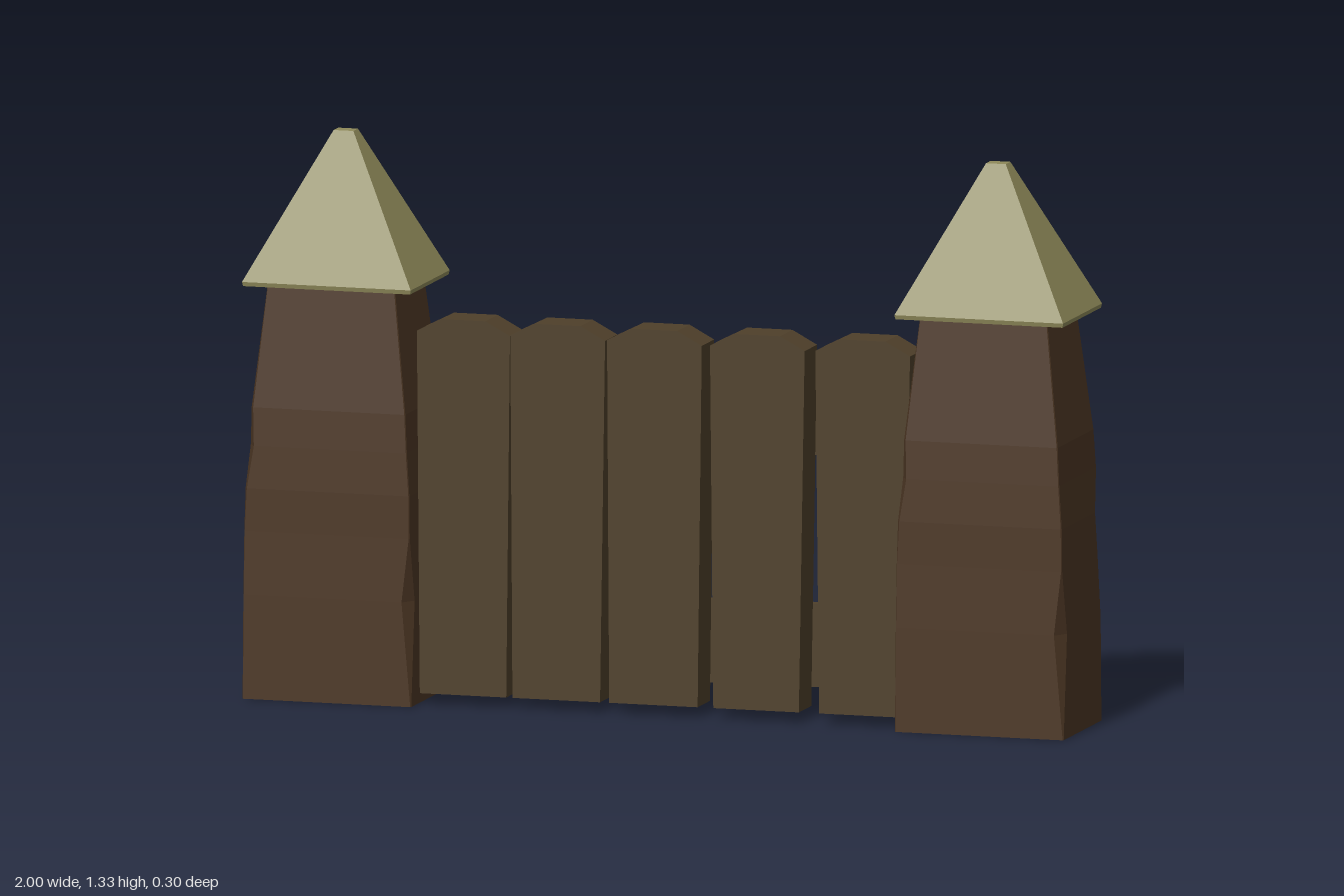
import * as THREE from 'three';

const material = (color) => new THREE.MeshStandardMaterial({ color, flatShading: true });

// Skin closed rings of [x, y, z] points (counterclockwise from above, bottom ring first).
function loft(rings) {
  const pos = [];
  const tri = (a, b, c) => pos.push(...a, ...b, ...c);
  const n = rings[0].length;
  for (let r = 0; r < rings.length - 1; r++) {
    const lo = rings[r], hi = rings[r + 1];
    for (let i = 0; i < n; i++) {
      const j = (i + 1) % n;
      tri(lo[i], lo[j], hi[j]);
      tri(lo[i], hi[j], hi[i]);
    }
  }
  const bottom = rings[0], top = rings[rings.length - 1];
  for (let i = 1; i < n - 1; i++) {
    tri(bottom[0], bottom[i + 1], bottom[i]);
    tri(top[0], top[i], top[i + 1]);
  }
  const geo = new THREE.BufferGeometry();
  geo.setAttribute('position', new THREE.Float32BufferAttribute(pos, 3));
  geo.computeVertexNormals();
  return geo;
}

// Rectangle ring whose corners are cut by chips: front right, back right, back left, front left.
function chippedRing([y, hx, hz, fr, br, bl, fl]) {
  const k = 0.6; // chips cut less deep across x than across z
  return [
    [hx - fr * k, y, hz], [hx, y, hz - fr],
    [hx, y, -hz + br], [hx - br * k, y, -hz],
    [-hx + bl * k, y, -hz], [-hx, y, -hz + bl],
    [-hx, y, hz - fl], [-hx + fl * k, y, hz],
  ];
}

const rectRing = (y, hx, hz) => [[hx, y, hz], [hx, y, -hz], [-hx, y, -hz], [-hx, y, hz]];

export function createModel() {
  const model = new THREE.Group();
  const postWood = material(0x4d3724);
  const plankWood = material(0x4f402a);
  const roofPaint = material(0x8f8a5a);
  const iron = material(0x3a4448);

  const add = (name, geo, mat, parent = model) => {
    const mesh = new THREE.Mesh(geo, mat);
    mesh.name = name;
    parent.add(mesh);
    return mesh;
  };

  // Tapered gate posts with chipped edges and pointed roofs
  const e = 0.003;
  const postGeo = loft([
    [0.005, 0.205, 0.15, e, e, e, e],
    [0.25, 0.203, 0.15, 0.035, e, 0.02, e],
    [0.4, 0.201, 0.149, e, 0.02, 0.035, e],
    [0.5, 0.2, 0.149, e, 0.036, 0.02, 0.01],
    [0.6, 0.193, 0.146, e, e, e, 0.025],
    [0.69, 0.188, 0.142, e, e, e, 0.012],
    [0.975, 0.155, 0.115, e, e, e, e],
  ].map(chippedRing));
  const roofGeo = loft([
    rectRing(0.975, 0.203, 0.15),
    rectRing(0.985, 0.205, 0.152),
    rectRing(1.33, 0.024, 0.018),
  ]);
  for (const [side, x] of [['right', -0.795], ['left', 0.79]]) {
    const tower = new THREE.Group();
    tower.name = side + 'GatePost';
    tower.position.x = x;
    add(side + 'Post', postGeo, postWood, tower);
    add(side + 'Roof', roofGeo, roofPaint, tower);
    model.add(tower);
  }

  // Upright planks: bottom left, bottom right, top left, top right x
  const planks = [
    [-0.585, -0.375, -0.592, -0.366],
    [-0.36, -0.147, -0.365, -0.135],
    [-0.125, 0.09, -0.13, 0.1],
    [0.128, 0.336, 0.12, 0.35],
    [0.385, 0.59, 0.376, 0.606],
  ];
  planks.forEach(([bl, br, tl, tr], i) => {
    const shape = new THREE.Shape([
      [bl, 0.03], [br, 0.03], [tr, 0.88], [tr - 0.06, 0.912], [tl + 0.06, 0.912], [tl, 0.882],
    ].map(([x, y]) => new THREE.Vector2(x, y)));
    add('plank' + (i + 1), new THREE.ExtrudeGeometry(shape, { depth: 0.097, bevelEnabled: false }), plankWood);
  });

  // Two cross rails behind the planks, with a row of nails along each
  const nailGeo = new THREE.BoxGeometry(0.03, 0.025, 0.006);
  const nailXs = [-0.47, -0.24, -0.02, 0.21, 0.45];
  for (const [name, y, nailY] of [['lower', 0.17, 0.22], ['upper', 0.715, 0.76]]) {
    const rail = add(name + 'Rail', new THREE.BoxGeometry(1.27, 0.195, 0.03), plankWood);
    rail.position.set(0, y, -0.014);
    rail.rotation.z = 0.008;
    nailXs.forEach((x, i) => {
      const sunk = name === 'upper' && i === 0;
      const nail = add(name + 'Nail' + (i + 1), nailGeo, iron);
      nail.position.set(sunk ? -0.49 : x, nailY + x * 0.008, sunk ? -0.035 : -0.08);
      nail.rotation.z = 0.1;
    });
  }
  return model;
}
